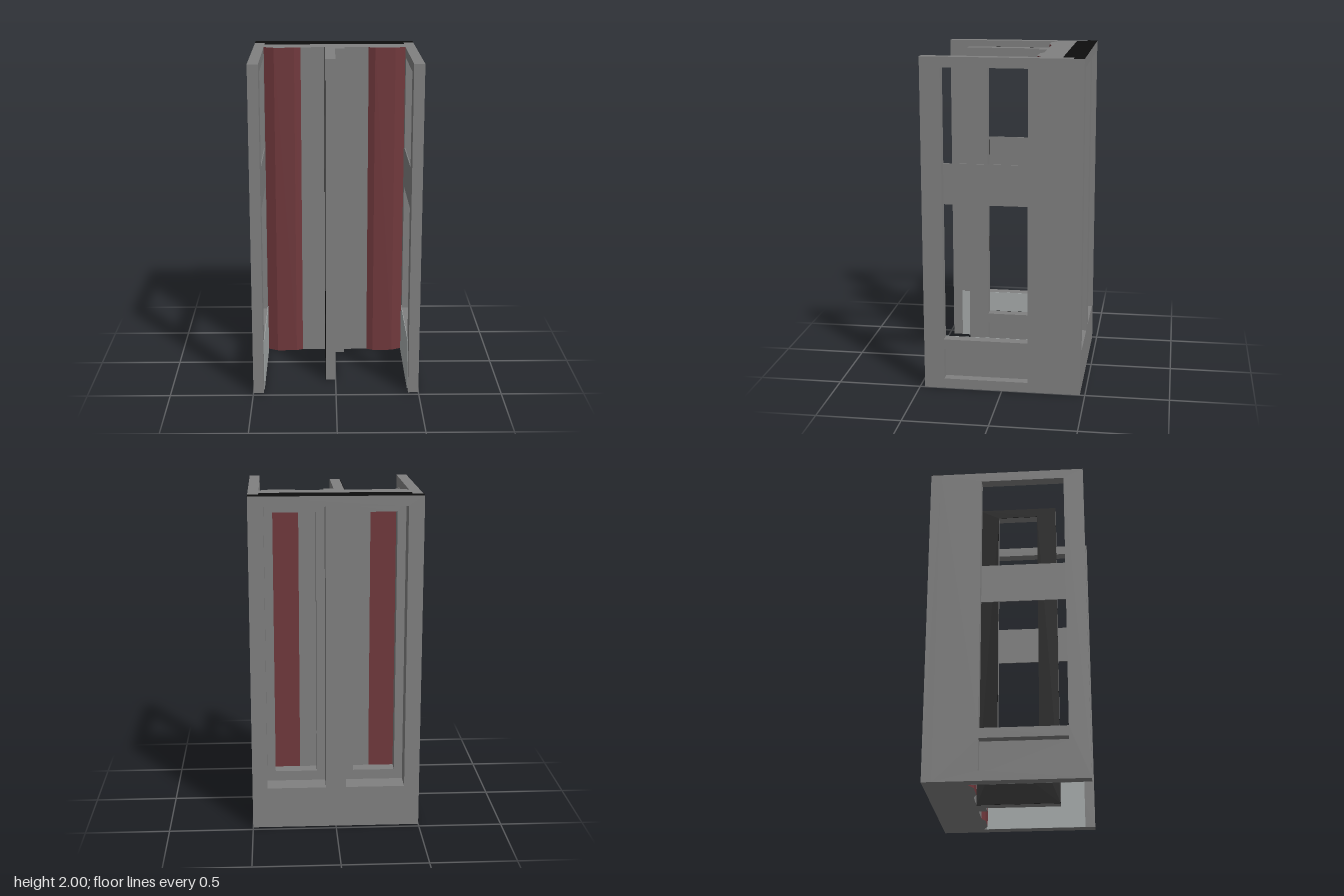
import * as THREE from 'three';

const mat = (name, color) => {
  const m = new THREE.MeshStandardMaterial({ color });
  m.name = name;
  return m;
};

export function createModel() {
  const group = new THREE.Group();
  const grey = mat('grey metal', 0x808080);
  const red = mat('dark red', 0x70383c);
  const black = mat('black', 0x0d0d0d);
  const light = mat('light grey', 0xa7acac);

  const add = (name, geo, material) => {
    const mesh = new THREE.Mesh(geo, material);
    mesh.name = name;
    group.add(mesh);
    return mesh;
  };
  const box = (name, material, x0, x1, y0, y1, z0, z1) =>
    add(name, new THREE.BoxGeometry(x1 - x0, y1 - y0, z1 - z0)
      .translate((x0 + x1) / 2, (y0 + y1) / 2, (z0 + z1) / 2), material);

  // rectangle [a0, a1, b0, b1] with rectangular holes
  const outline = (s, [a0, a1, b0, b1]) =>
    s.moveTo(a0, b0).lineTo(a1, b0).lineTo(a1, b1).lineTo(a0, b1).closePath();
  const slab = (rect, holes, depth) => {
    const shape = outline(new THREE.Shape(), rect);
    holes.forEach((h) => shape.holes.push(outline(new THREE.Path(), h)));
    return new THREE.ExtrudeGeometry(shape, { depth, bevelEnabled: false });
  };
  // slab standing in the z-y plane, from x0 to x1; ranges given in z and y
  const sideSlab = (name, material, x0, x1, [z0, z1, y0, y1], holes) =>
    add(name, slab([-z1, -z0, y0, y1], holes.map(([a, b, c, d]) => [-b, -a, c, d]), x1 - x0)
      .rotateY(Math.PI / 2).translate(x0, 0, 0), material);
  // plan outline of [x, z] points raised from y0 to y1
  const plan = (name, material, pts, y0, y1) => {
    const shape = new THREE.Shape(pts.map(([x, z]) => new THREE.Vector2(x, -z)));
    return add(name, new THREE.ExtrudeGeometry(shape, { depth: y1 - y0, bevelEnabled: false })
      .rotateX(-Math.PI / 2).translate(0, y0, 0), material);
  };

  // back wall frames with stepped window recesses
  const pair = (a, b, c, d) => [[a, b, c, d], [-b, -a, c, d]];
  const openings = pair(0.06, 0.41, 0.25, 1.94);
  add('backFrameOuter', slab([-0.5, 0.5, 0, 2], openings, 0.06).translate(0, 0, -0.47), grey);
  add('backFrameMiddle', slab([-0.437, 0.437, 0, 2], openings, 0.065).translate(0, 0, -0.41), grey);
  add('backFrameInner', slab([-0.437, 0.437, 0, 2], pair(0.11, 0.36, 0.31, 1.89), 0.08)
    .translate(0, 0, -0.345), grey);

  // inner wall and the two bevelled red pads
  box('innerWall', grey, -0.21, 0.21, 0, 2, -0.265, -0.21);
  for (const s of [1, -1]) {
    plan('redPad', [grey, red], [[0.21, -0.265], [0.21, -0.21], [0.25, -0.19],
      [0.375, -0.19], [0.437, -0.22], [0.437, -0.265]].map(([x, z]) => [s * x, z]), 0, 2);
  }

  // dark cover on the top of the back wall
  plan('topCover', black, [[-0.5, -0.47], [0.5, -0.47], [0.5, -0.41], [0.437, -0.41],
    [0.437, -0.345], [-0.437, -0.345], [-0.437, -0.41], [-0.5, -0.41]], 2, 2.003);

  // side walls with window, crossbar, and lower recess
  for (const s of [1, -1]) {
    const at = (a, b) => (s > 0 ? [a, b] : [-b, -a]);
    sideSlab('sideWall', grey, ...at(0.437, 0.5), [-0.41, 0.47, 0, 2],
      [[-0.155, 0.35, 0.06, 0.25], [-0.155, 0.35, 0.31, 1.94]]);
    box('sideCrossbar', grey, ...at(0.437, 0.443), 1.13, 1.375, -0.155, 0.35);
    box('recessBack', grey, ...at(0.437, 0.443), 0.06, 0.25, -0.155, 0.35);
    box('lowerLining', light, ...at(0.434, 0.437), 0.0, 0.31, -0.2, 0.41);
  }

  // centre divider with window, lower recess, and dark lining
  sideSlab('divider', grey, -0.06, 0, [-0.21, 0.28, 0, 2],
    [[-0.09, 0.16, 0.06, 0.25], [-0.09, 0.16, 0.31, 1.94]]);
  box('dividerRecessBack', grey, -0.06, -0.054, 0.06, 0.25, -0.09, 0.16);
  sideSlab('dividerLining', black, -0.063, -0.06, [-0.21, 0.28, 0, 2],
    [[-0.09, 0.16, 0.31, 1.94]]);
  box('dividerStop', grey, 0, 0.06, 0, 2, -0.21, -0.16);

  return group;
}
